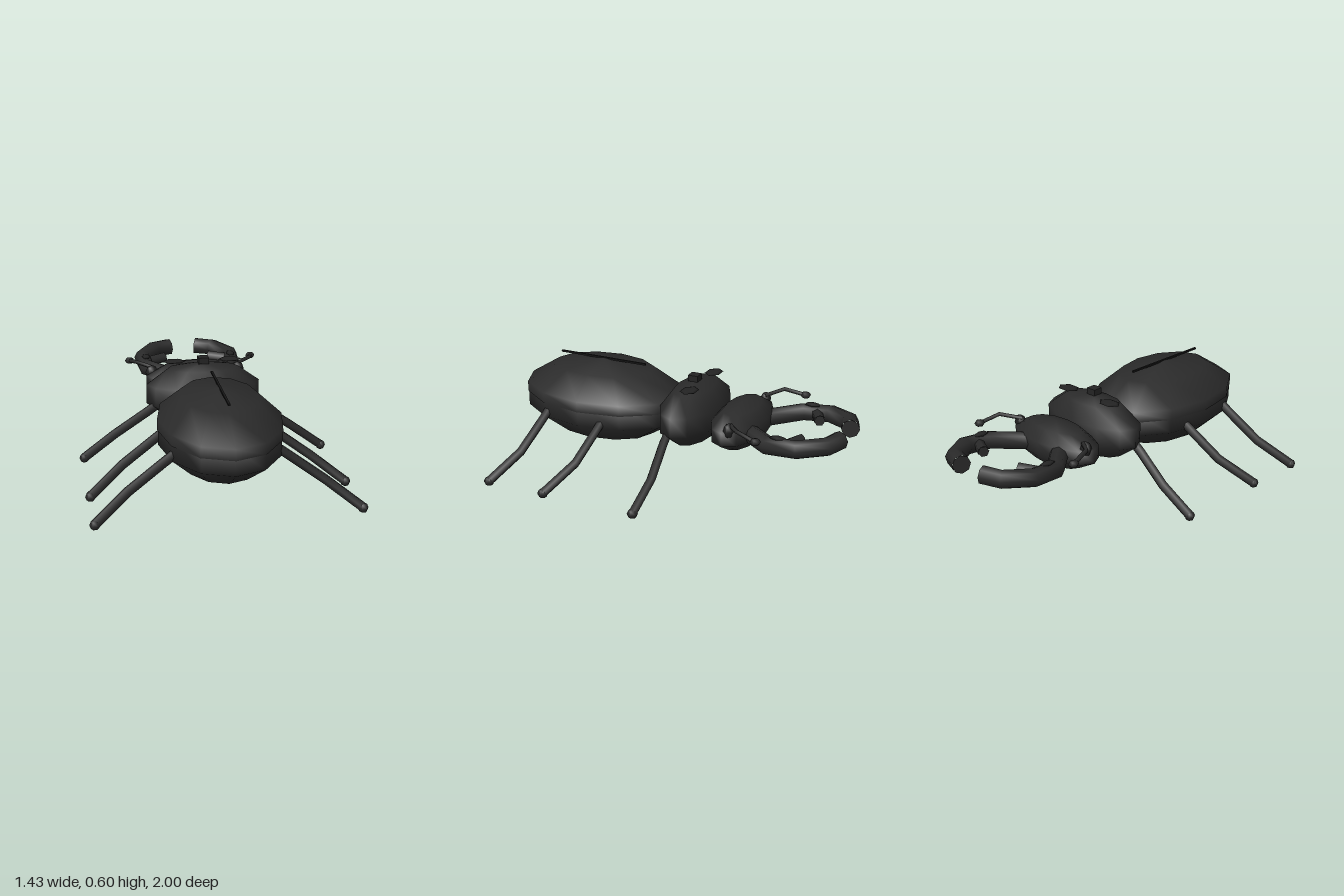
import * as THREE from 'three';

const mat = (name, color, extra = {}) => new THREE.MeshStandardMaterial({ name, color, ...extra });

// Straight-segmented path, sampled exactly at its corners
class Polyline extends THREE.Curve {
  constructor(points) {
    super();
    this.points = points.map((p) => new THREE.Vector3(...p));
  }
  getPoint(t, target = new THREE.Vector3()) {
    const n = this.points.length - 1;
    const i = Math.min(Math.floor(t * n), n - 1);
    return target.lerpVectors(this.points[i], this.points[i + 1], t * n - i);
  }
  getPointAt(t, target) { return this.getPoint(t, target); }
  getTangentAt(t, target) { return this.getTangent(t, target); }
}

export function createModel() {
  const shell = mat('shellBlack', 0x2a2a2a);
  const detail = mat('detailBlack', 0x232323);
  const seam = mat('seamBlack', 0x161616);
  const model = new THREE.Group();
  model.name = 'stagBeetle';

  function add(parent, name, geometry, material, pos = [0, 0, 0], scale = [1, 1, 1]) {
    const mesh = new THREE.Mesh(geometry, material);
    mesh.name = name;
    mesh.position.set(...pos);
    mesh.scale.set(...scale);
    parent.add(mesh);
    return mesh;
  }

  // Capped limb along a list of corners
  function limb(parent, name, points, radius, sides, material) {
    const path = new Polyline(points);
    const group = new THREE.Group();
    group.name = name;
    add(group, name + 'Tube', new THREE.TubeGeometry(path, points.length - 1, radius, sides), material);
    [0, 1].forEach((t) => {
      const cap = add(group, name + 'Cap', new THREE.CircleGeometry(radius, sides), material);
      const dir = path.getTangentAt(t).multiplyScalar(t ? 1 : -1);
      cap.position.copy(path.getPoint(t));
      cap.quaternion.setFromUnitVectors(new THREE.Vector3(0, 0, 1), dir);
    });
    parent.add(group);
  }

  // Body segments: low-poly ellipsoids
  const ball = new THREE.SphereGeometry(1, 12, 5);
  add(model, 'abdomen', ball, shell, [0, 0.364, 0.51], [0.342, 0.231, 0.512]);
  add(model, 'thorax', ball, shell, [0, 0.379, -0.07], [0.34, 0.179, 0.171]);
  add(model, 'head', ball, shell, [0, 0.356, -0.357], [0.307, 0.124, 0.15]);

  // Wing case: upper dome with a vertical rim over the abdomen
  const dome = [[0.951, 0.05], [0.951, 0.309], [0.588, 0.809], [0, 1]];
  add(model, 'wingCase',
    new THREE.LatheGeometry(dome.map(([x, y]) => new THREE.Vector2(x, y)), 12),
    shell, [0, 0.364, 0.51], [0.347, 0.233, 0.515]);
  add(model, 'wingSeam', new THREE.BoxGeometry(0.012, 0.01, 0.55), seam, [0, 0.594, 0.52]);
  add(model, 'thoraxKnob', new THREE.BoxGeometry(0.058, 0.035, 0.058), detail, [0, 0.569, -0.064]);

  const bead = new THREE.SphereGeometry(1, 6, 4);
  const legs = {
    frontLeg: [-0.03, -0.03, -0.05, -0.03],
    middleLeg: [0.375, 0.388, 0.42, 0.525],
    hindLeg: [0.73, 0.742, 0.776, 0.876],
  };

  for (const s of [1, -1]) {
    const side = new THREE.Group();
    side.name = s > 0 ? 'leftSide' : 'rightSide';
    const m = (points) => points.map(([x, y, z]) => [s * x, y, z]);
    const p = (x, y, z) => [s * x, y, z];

    // Three legs with small feet
    for (const [name, z] of Object.entries(legs)) {
      limb(side, name, m([[0.22, 0.36, z[0]], [0.32, 0.29, z[1]], [0.51, 0.155, z[2]], [0.69, 0.028, z[3]]]),
        0.026, 6, shell);
      add(side, name + 'Foot', bead, shell, p(0.688, 0.028, z[3]), [0.028, 0.028, 0.03]);
    }

    // Curved mandible with an inner tooth and a top spot
    limb(side, 'mandible', m([[0.12, 0.352, -0.45], [0.262, 0.364, -0.615], [0.273, 0.376, -0.775],
      [0.186, 0.386, -0.914], [0.083, 0.39, -0.952]]), 0.051, 8, shell);
    limb(side, 'mandibleTooth', m([[0.25, 0.375, -0.7], [0.138, 0.38, -0.757]]), 0.031, 6, shell);
    add(side, 'mandibleSpot', bead, detail, p(0.262, 0.416, -0.67), [0.025, 0.012, 0.05]);

    // Eye and clubbed antenna
    add(side, 'eye', bead, detail, p(0.258, 0.405, -0.388), [0.037, 0.042, 0.03]);
    limb(side, 'antenna', m([[0.24, 0.43, -0.39], [0.342, 0.448, -0.468], [0.37, 0.422, -0.585]]), 0.012, 6, shell);
    add(side, 'antennaTip', bead, shell, p(0.37, 0.422, -0.587), [0.028, 0.02, 0.03]);

    // Flat oval plate on the thorax
    add(side, 'thoraxPlate', bead, detail, p(0.16, 0.553, -0.108), [0.068, 0.007, 0.049]);
    model.add(side);
  }
  return model;
}
